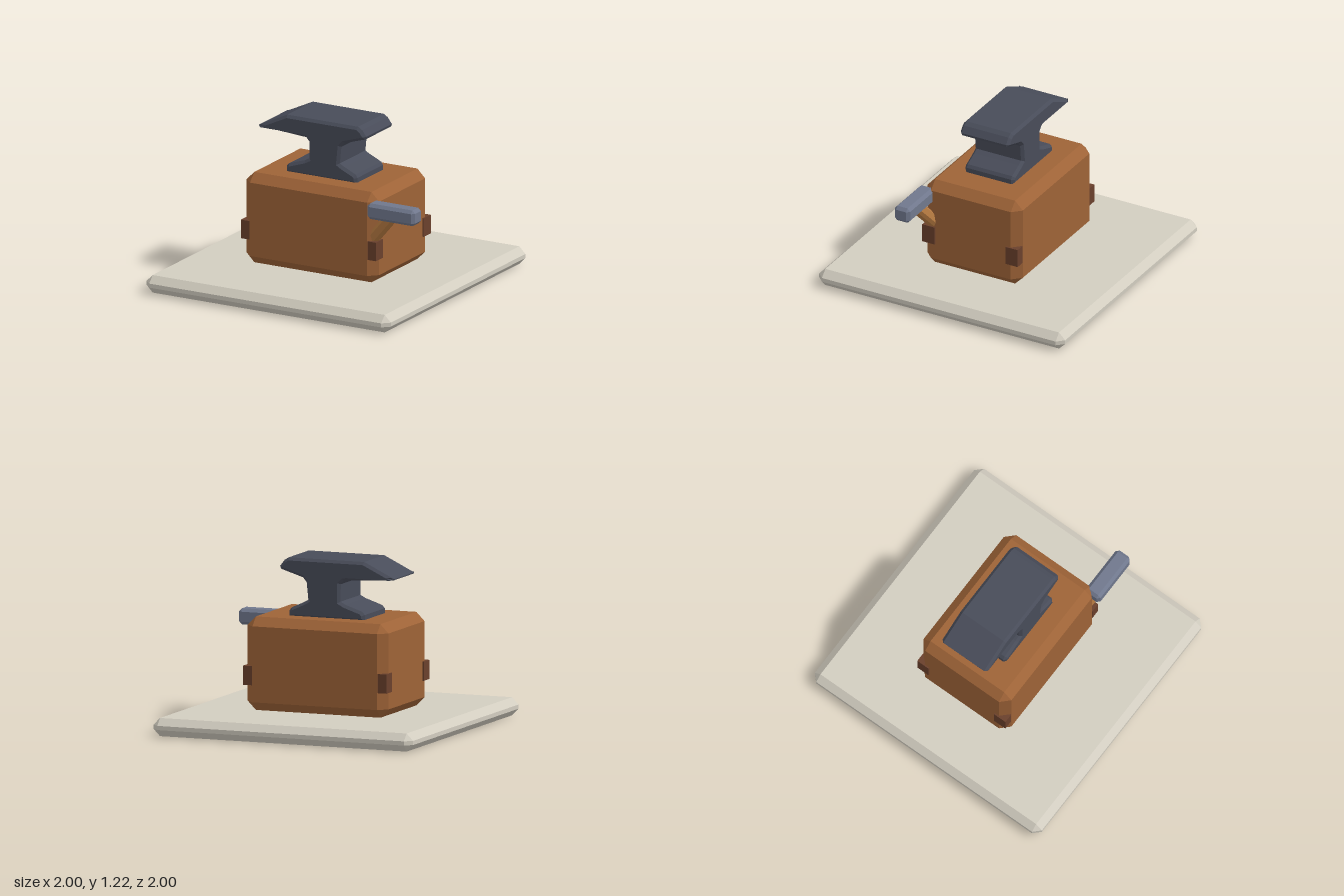
import * as THREE from 'three';
import { ConvexGeometry } from 'three/addons/geometries/ConvexGeometry.js';

const mat = (name, color) => {
  const m = new THREE.MeshStandardMaterial({ color });
  m.name = name;
  return m;
};

// Box with every edge cut by a flat chamfer c
function chamferBox(w, h, d, c) {
  const pts = [];
  const half = [w / 2, h / 2, d / 2];
  for (const sx of [-1, 1]) for (const sy of [-1, 1]) for (const sz of [-1, 1]) {
    for (let full = 0; full < 3; full++) {
      const p = half.map((v, i) => (i === full ? v : v - c));
      pts.push(new THREE.Vector3(p[0] * sx, p[1] * sy, p[2] * sz));
    }
  }
  return new ConvexGeometry(pts);
}

export function createModel() {
  const group = new THREE.Group();
  const stone = mat('pale stone', 0xd2cdc0);
  const wood = mat('wood', 0x9e6337);
  const darkWood = mat('dark bracket', 0x6a402c);
  const iron = mat('dark iron', 0x484c59);
  const steel = mat('steel', 0x70788d);
  const handleWood = mat('handle wood', 0xb67a41);

  const add = (name, geometry, material, x = 0, y = 0, z = 0) => {
    const mesh = new THREE.Mesh(geometry, material);
    mesh.name = name;
    mesh.position.set(x, y, z);
    group.add(mesh);
    return mesh;
  };

  // Floor slab and wooden block
  add('baseSlab', chamferBox(2, 0.13, 2, 0.05), stone, 0, 0.065, 0);
  add('woodBlock', chamferBox(1.085, 0.67, 0.775, 0.063), wood, -0.002, 0.465, -0.002);

  // Corner brackets
  for (const sx of [-1, 1]) for (const sz of [-1, 1]) {
    add('cornerBracket', new THREE.BoxGeometry(0.07, 0.137, 0.1), darkWood,
      -0.002 + sx * 0.518, 0.383, -0.001 + sz * 0.338);
  }

  // Anvil: side profile with the horn toward -x, bevelled at front and back
  const profile = [
    [-0.3, 0.79], [0.28, 0.79], [0.28, 0.835], [0.265, 0.857], [0.17, 0.9], [0.135, 0.92],
    [0.148, 1.045], [0.175, 1.077], [0.345, 1.13], [0.352, 1.15], [0.318, 1.195], [0.285, 1.215],
    [-0.295, 1.215], [-0.527, 1.105], [-0.525, 1.097], [-0.14, 1.072], [-0.115, 1.045],
    [-0.113, 0.92], [-0.15, 0.9], [-0.28, 0.857], [-0.3, 0.835],
  ];
  const shape = new THREE.Shape(profile.map(([x, y]) => new THREE.Vector2(x, y)));
  const anvil = new THREE.ExtrudeGeometry(shape, {
    depth: 0.36, bevelEnabled: true, bevelSegments: 1,
    bevelThickness: 0.02, bevelSize: 0.02, bevelOffset: -0.02,
  });
  add('anvil', anvil, iron, 0, 0, -0.182);

  // Hammer leaning on the block's front left corner
  add('hammerHead', chamferBox(0.39, 0.116, 0.125, 0.022), steel, 0.692, 0.688, 0.37);
  const top = new THREE.Vector3(0.7, 0.69, 0.38);
  const bottom = new THREE.Vector3(0.435, 0.4, 0.3);
  const axis = top.clone().sub(bottom);
  const handle = add('hammerHandle', chamferBox(0.085, axis.length(), 0.085, 0.02), handleWood);
  handle.position.copy(top).add(bottom).multiplyScalar(0.5);
  handle.quaternion.setFromUnitVectors(new THREE.Vector3(0, 1, 0), axis.normalize());

  return group;
}
